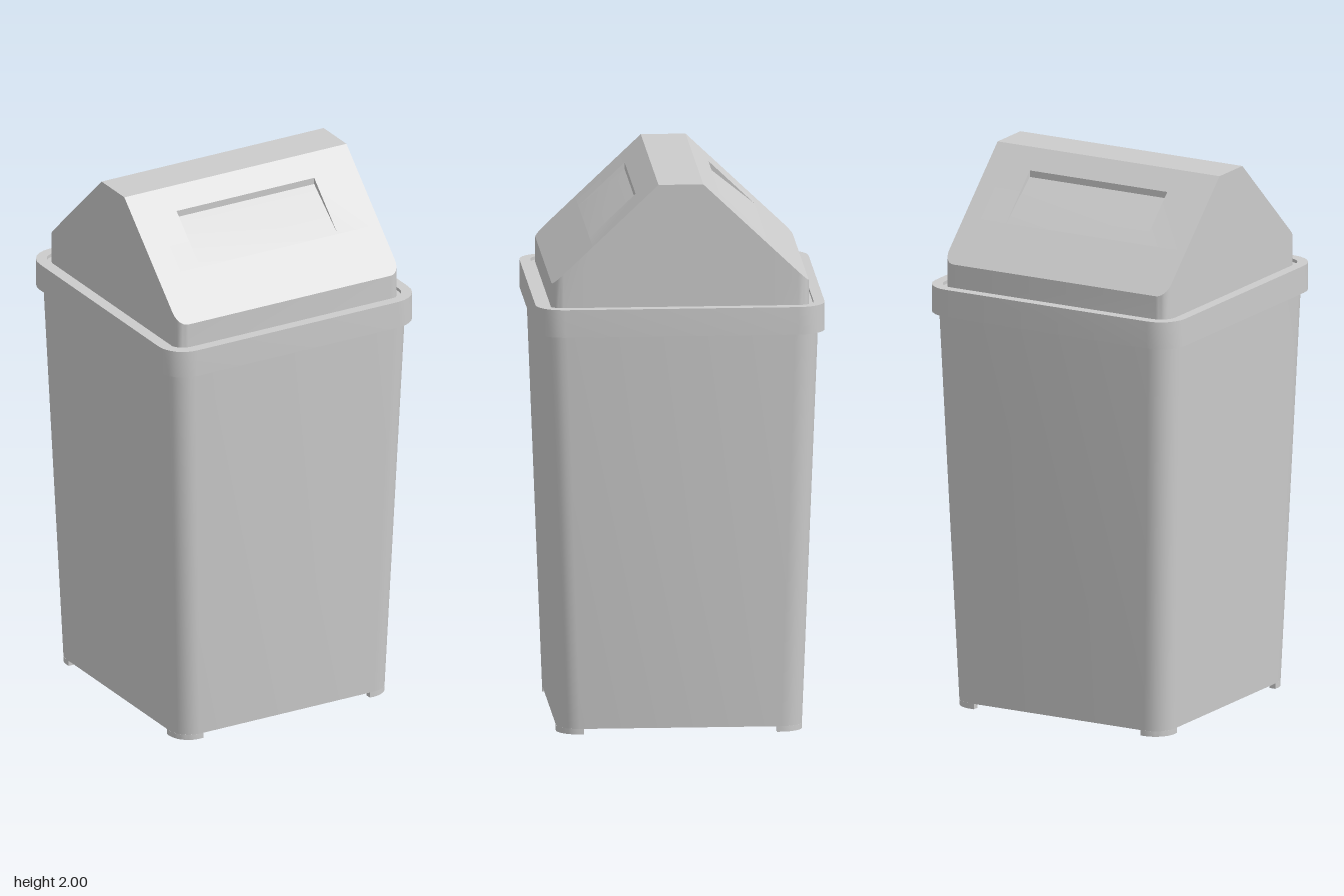
import * as THREE from 'three';
import { toCreasedNormals } from 'three/addons/utils/BufferGeometryUtils.js';

const material = new THREE.MeshStandardMaterial({ color: 0xcccccc });

// Geometry from quads (or triangles), corners counter-clockwise seen from outside
function fromFaces(faces) {
  const pos = [];
  for (const [a, b, c, d] of faces) {
    pos.push(...a, ...b, ...c);
    if (d) pos.push(...a, ...c, ...d);
  }
  const g = new THREE.BufferGeometry();
  g.setAttribute('position', new THREE.Float32BufferAttribute(pos, 3));
  return toCreasedNormals(g, Math.PI / 6);
}

// Rounded square outline at one height
function loop(half, r, y, steps = 6) {
  const pts = [], c = half - r;
  for (let k = 0; k < 4; k++) {
    const sx = k === 0 || k === 3 ? 1 : -1, sz = k < 2 ? 1 : -1;
    for (let i = 0; i <= steps; i++) {
      const a = (k + i / steps) * Math.PI / 2;
      pts.push([sx * c + r * Math.cos(a), y, sz * c + r * Math.sin(a)]);
    }
  }
  return pts;
}

// Skin over a profile of [half width, corner radius, height]
function loft(profile) {
  const rings = profile.map(p => loop(...p)), faces = [];
  for (let k = 0; k + 1 < rings.length; k++) {
    const a = rings[k], b = rings[k + 1];
    a.forEach((p, i) => {
      const j = (i + 1) % a.length;
      faces.push([p, b[i], b[j], a[j]]);
    });
  }
  return fromFaces(faces);
}

// Half of the gabled lid (z >= 0) with its wedge-shaped hand recess
function lidHalf() {
  const L = 0.46, r = 0.04, base = 1.54, px = 0.285, pTop = 0.15, pLow = 0.315, depth = 0.024;
  const height = z => z <= 0.08 ? 2 : 2 - (z - 0.08) * 0.36 / 0.38;
  const width = z => z <= L - r ? L : L - r + Math.sqrt(Math.max(0, r * r - (z - L + r) ** 2));
  const rows = [0, 0.08, pTop, pLow];
  for (let i = 0; i <= 6; i++) rows.push(L - r + r * Math.sin(i * Math.PI / 12));
  const top = (x, z) => [x, height(z), z], low = (x, z) => [x, base, z];
  const faces = [];
  const strip = (z0, l0, r0, z1, l1, r1) => faces.push([top(l0, z0), top(l1, z1), top(r1, z1), top(r0, z0)]);

  for (let i = 0; i + 1 < rows.length; i++) {
    const z0 = rows[i], z1 = rows[i + 1], w0 = width(z0), w1 = width(z1);
    if (z0 === pTop) {
      strip(z0, -w0, -px, z1, -w1, -px);
      strip(z0, px, w0, z1, px, w1);
    } else strip(z0, -w0, w0, z1, -w1, w1);
    // gable walls
    faces.push([low(w1, z1), low(w0, z0), top(w0, z0), top(w1, z1)]);
    faces.push([low(-w0, z0), low(-w1, z1), top(-w1, z1), top(-w0, z0)]);
  }
  // upright front wall
  const w = width(L);
  faces.push([low(-w, L), low(w, L), top(w, L), top(-w, L)]);
  // recess: floor, upper wall and tapering cheeks
  const deep = x => [x, height(pTop) - depth, pTop];
  faces.push([deep(-px), top(-px, pLow), top(px, pLow), deep(px)]);
  faces.push([deep(-px), deep(px), top(px, pTop), top(-px, pTop)]);
  faces.push([top(px, pTop), deep(px), top(px, pLow)]);
  faces.push([top(-px, pTop), top(-px, pLow), deep(-px)]);
  return fromFaces(faces);
}

// Curved corner foot continuing the wall below the floor
function footGeometry() {
  const s = new THREE.Shape(), c = 0.36;
  s.moveTo(0.44, 0.345);
  s.lineTo(0.44, c);
  s.absarc(c, c, 0.08, 0, Math.PI / 2, false);
  s.lineTo(0.345, 0.44);
  s.lineTo(0.345, 0.415);
  s.lineTo(c, 0.415);
  s.absarc(c, c, 0.055, Math.PI / 2, 0, true);
  s.lineTo(0.415, 0.345);
  s.closePath();
  const g = new THREE.ExtrudeGeometry(s, { depth: 0.02, bevelEnabled: false, curveSegments: 6 });
  g.rotateX(Math.PI / 2).translate(0, 0.02, 0);
  return toCreasedNormals(g, Math.PI / 6);
}

export function createModel() {
  const model = new THREE.Group();
  model.name = 'swingLidBin';
  const add = (name, geometry, turn = 0) => {
    const mesh = new THREE.Mesh(geometry, material);
    mesh.name = name;
    mesh.rotation.y = turn;
    model.add(mesh);
  };

  // tapered body with closed floor
  add('body', loft([[0, 0, 0.02], [0.44, 0.08, 0.02], [0.495, 0.085, 1.5]]));

  // overhanging rim: hollow skirt below, shallow channel around the lid above
  add('rim', loft([
    [0.45, 0.05, 1.5], [0.505, 0.09, 1.5], [0.505, 0.09, 1.46], [0.517, 0.1, 1.46],
    [0.517, 0.1, 1.56], [0.478, 0.06, 1.56], [0.478, 0.06, 1.548], [0.44, 0.03, 1.548],
  ]));

  const half = lidHalf();
  add('lidFront', half);
  add('lidBack', half, Math.PI);

  const foot = footGeometry();
  for (let i = 0; i < 4; i++) add('foot', foot, i * Math.PI / 2);
  return model;
}
